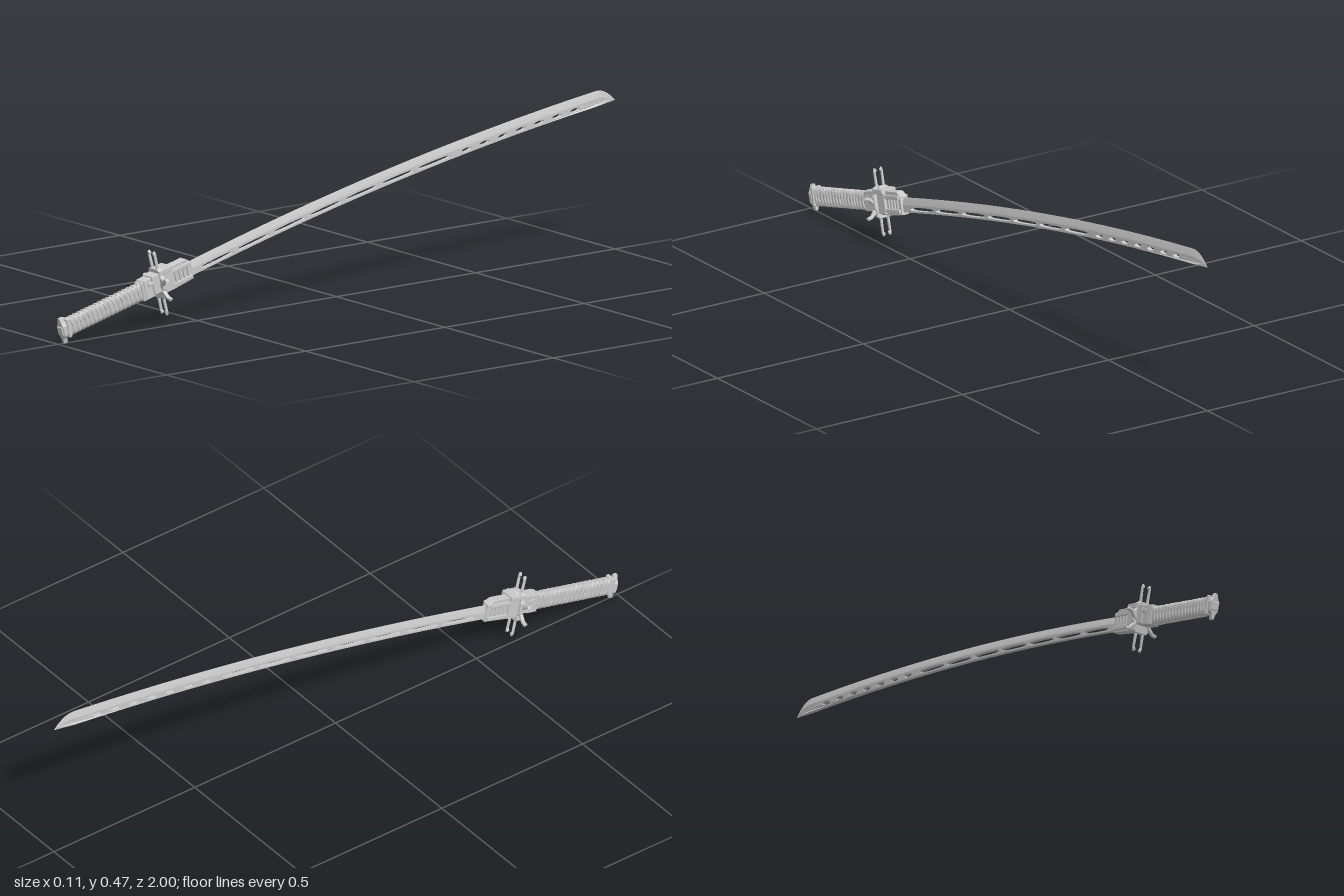
import * as THREE from 'three';
import { RoundedBoxGeometry } from 'three/addons/geometries/RoundedBoxGeometry.js';
import { toCreasedNormals } from 'three/addons/utils/BufferGeometryUtils.js';

const grey = new THREE.MeshStandardMaterial({ color: 0xcccccc });

function add(parent, name, geometry, x = 0, y = 0, z = 0) {
  const mesh = new THREE.Mesh(geometry, grey);
  mesh.name = name;
  mesh.position.set(x, y, z);
  parent.add(mesh);
  return mesh;
}

const box = (w, h, d, r = 0.002) => new RoundedBoxGeometry(w, h, d, 1, r);

// Flat outline extruded along z, centred on z = 0
function plate(points, depth, bevel = 0.0015) {
  const shape = new THREE.Shape(points.map(([x, y]) => new THREE.Vector2(x, y)));
  const g = new THREE.ExtrudeGeometry(shape, {
    depth: depth - 2 * bevel, bevelEnabled: true, bevelThickness: bevel,
    bevelSize: bevel, bevelOffset: -bevel, bevelSegments: 1,
  });
  return g.translate(0, 0, bevel - depth / 2);
}

// Half outline (x >= 0, bottom to top) mirrored to a full one
const mirrored = (half) => [...half, ...half.map(([x, y]) => [-x, y]).reverse()];

// Blade curve: s runs from the collar to the tip (s = -z)
const START = -0.6, TIP = 1, POINT = 0.93, HALF = 0.0063;
const spineY = (s) => 0.264 + 0.2195 * s - 0.049 * s * s;
const tipT = (s) => Math.max(0, (s - POINT) / (TIP - POINT));
const bladeH = (s) => 0.044 * (1 - tipT(s) ** 2);
const ridgeH = (s) => bladeH(s) * 0.5;
const halfThick = (s) => HALF * (1 - 0.9 * tipT(s));

function spineStrip() {
  const shape = new THREE.Shape();
  const n = 120, at = (i) => START + (TIP - START) * i / n;
  shape.moveTo(START, spineY(START));
  for (let i = 1; i <= n; i++) shape.lineTo(at(i), spineY(at(i)));
  for (let i = n - 1; i >= 0; i--) shape.lineTo(at(i), spineY(at(i)) + ridgeH(at(i)));
  shape.closePath();

  // Rounded opening that follows the curve of the spine
  const slot = (s0, s1, power) => {
    const path = new THREE.Path(), k = 12;
    for (let i = 0; i < 2 * k; i++) {
      const a = Math.PI * i / k;
      const s = (s0 + s1) / 2 - Math.cos(a) * (s1 - s0) / 2;
      const v = 0.0105 - Math.sign(Math.sin(a)) * 0.0055 * Math.abs(Math.sin(a)) ** power;
      path[i ? 'lineTo' : 'moveTo'](s, spineY(s) + v);
    }
    path.closePath();
    shape.holes.push(path);
  };
  for (let i = 0; i < 7; i++) slot(-0.49 + i * 0.13, -0.375 + i * 0.13, 0.5);
  for (let i = 0; i < 7; i++) slot(0.445 + i * 0.065, 0.48 + i * 0.065, 0.8);

  const g = new THREE.ExtrudeGeometry(shape, { depth: 2 * HALF, bevelEnabled: false });
  g.translate(0, 0, -HALF);
  const p = g.attributes.position;
  for (let i = 0; i < p.count; i++) p.setZ(i, p.getZ(i) * halfThick(p.getX(i)) / HALF);
  return toCreasedNormals(g.rotateY(Math.PI / 2), 0.5);
}

// One ground face, from the ridge line up to the cutting edge
function cuttingFace(side) {
  const g = new THREE.PlaneGeometry(1, 1, 120, 2), p = g.attributes.position;
  for (let i = 0; i < p.count; i++) {
    const s = START + (TIP - START) * (0.5 + side * p.getX(i)), v = p.getY(i) + 0.5;
    const y = spineY(s) + ridgeH(s) + (bladeH(s) - ridgeH(s)) * v;
    p.setXYZ(i, s, y, side * halfThick(s) * (1 - v ** 1.3));
  }
  g.rotateY(Math.PI / 2);
  g.computeVertexNormals();
  return g;
}

// Crossed cord wound round the grip
function cord(direction, phase) {
  const points = [], turns = 9, n = turns * 16;
  for (let i = 0; i <= n; i++) {
    const a = direction * (i / n) * turns * 2 * Math.PI + phase;
    const c = Math.cos(a), s = Math.sin(a), q = (v) => Math.sign(v) * Math.abs(v) ** 0.7;
    points.push(new THREE.Vector3(0.0125 * q(c), 0.0245 * q(s), 0.065 + 0.275 * i / n));
  }
  return new THREE.TubeGeometry(new THREE.CatmullRomCurve3(points), n * 2, 0.0042, 5);
}

export function createModel() {
  const model = new THREE.Group();
  model.name = 'curvedSword';

  const blade = new THREE.Group();
  blade.name = 'blade';
  model.add(blade);
  add(blade, 'slottedSpine', spineStrip());
  for (const side of [1, -1]) add(blade, 'cuttingFace', cuttingFace(side));

  // Hilt: local z runs from the guard to the pommel
  const hilt = new THREE.Group();
  hilt.name = 'hilt';
  hilt.position.set(0, 0.131, 0.641);
  hilt.rotation.x = 0.25;
  model.add(hilt);

  // Grip core and wrapping
  add(hilt, 'gripCore', box(0.026, 0.049, 0.31, 0.008), 0, 0, 0.2);
  for (const phase of [0, Math.PI]) {
    add(hilt, 'gripCord', cord(1, phase));
    add(hilt, 'gripCord', cord(-1, phase));
  }
  for (const z of [0.064, 0.34]) add(hilt, 'gripBand', box(0.033, 0.058, 0.012, 0.004), 0, 0, z);

  // Pommel with an upper and a lower beak
  add(hilt, 'pommel', plate(mirrored([
    [0.004, -0.042], [0.007, -0.028], [0.014, -0.018], [0.015, 0.01], [0.009, 0.021], [0.004, 0.035],
  ]), 0.014), 0, 0, 0.354);
  add(hilt, 'pommelPlate', box(0.022, 0.025, 0.008), 0, -0.003, 0.361);

  // Guard plate with a fork above and below
  const guard = new THREE.Group();
  guard.name = 'guard';
  hilt.add(guard);
  add(guard, 'guardPlate', plate(mirrored([
    [0.018, -0.046], [0.025, -0.04], [0.025, -0.025], [0.03, -0.016],
    [0.03, 0.016], [0.025, 0.025], [0.025, 0.04], [0.018, 0.046],
  ]), 0.014));
  const prong = [[0.008, 0.04], [0.015, 0.04], [0.015, 0.09], [0.012, 0.099],
    [0.006, 0.094], [0.006, 0.089], [0.01, 0.086]];
  const arm = [[0.018, 0.002], [0.026, 0.004], [0.042, 0.022], [0.056, 0.026],
    [0.052, 0.034], [0.038, 0.03], [0.018, 0.012]];
  const flip = (points, sx, sy) => points.map(([x, y]) => [x * sx, y * sy]);
  for (const sx of [1, -1]) for (const sy of [1, -1]) {
    add(guard, 'guardProng', plate(flip(prong, sx, sy), 0.009));
    add(guard, 'guardArm', plate(flip(arm, sx, sy), 0.011), 0, -0.012, 0.004);
  }

  // Stepped block between guard and grip, with a grille above the grip
  add(hilt, 'rearBlock', box(0.044, 0.056, 0.03), 0, 0.006, 0.018);
  add(hilt, 'rearStep', box(0.036, 0.058, 0.032), 0, 0.002, 0.045);
  add(hilt, 'rearLip', box(0.045, 0.011, 0.024), 0, 0.014, 0.036);
  for (let i = 0; i < 5; i++) add(hilt, 'grilleRib', box(0.003, 0.014, 0.008, 0.001), -0.01 + i * 0.005, 0.026, 0.06);

  // Blade collar with a sloped top, side rails and ribs
  const collar = [[-0.116, -0.032], [-0.116, 0.022], [-0.1, 0.035], [-0.03, 0.035],
    [-0.01, 0.046], [0, 0.046], [0, -0.036], [-0.04, -0.036]];
  const collarBody = add(hilt, 'bladeCollar', plate(collar.map(([z, y]) => [-z, y]), 0.024));
  collarBody.rotation.y = Math.PI / 2;
  add(hilt, 'collarShoulder', box(0.05, 0.014, 0.04), 0, 0.034, -0.022);
  add(hilt, 'collarBase', box(0.04, 0.06, 0.04), 0, -0.002, -0.022);
  for (const side of [1, -1]) {
    for (const y of [0.018, -0.022]) add(hilt, 'collarRail', box(0.008, 0.012, 0.09), side * 0.014, y, -0.066);
    for (let i = 0; i < 4; i++) add(hilt, 'collarRib', box(0.006, 0.036, 0.006), side * 0.013, -0.002, -0.055 - i * 0.015);
  }
  return model;
}
